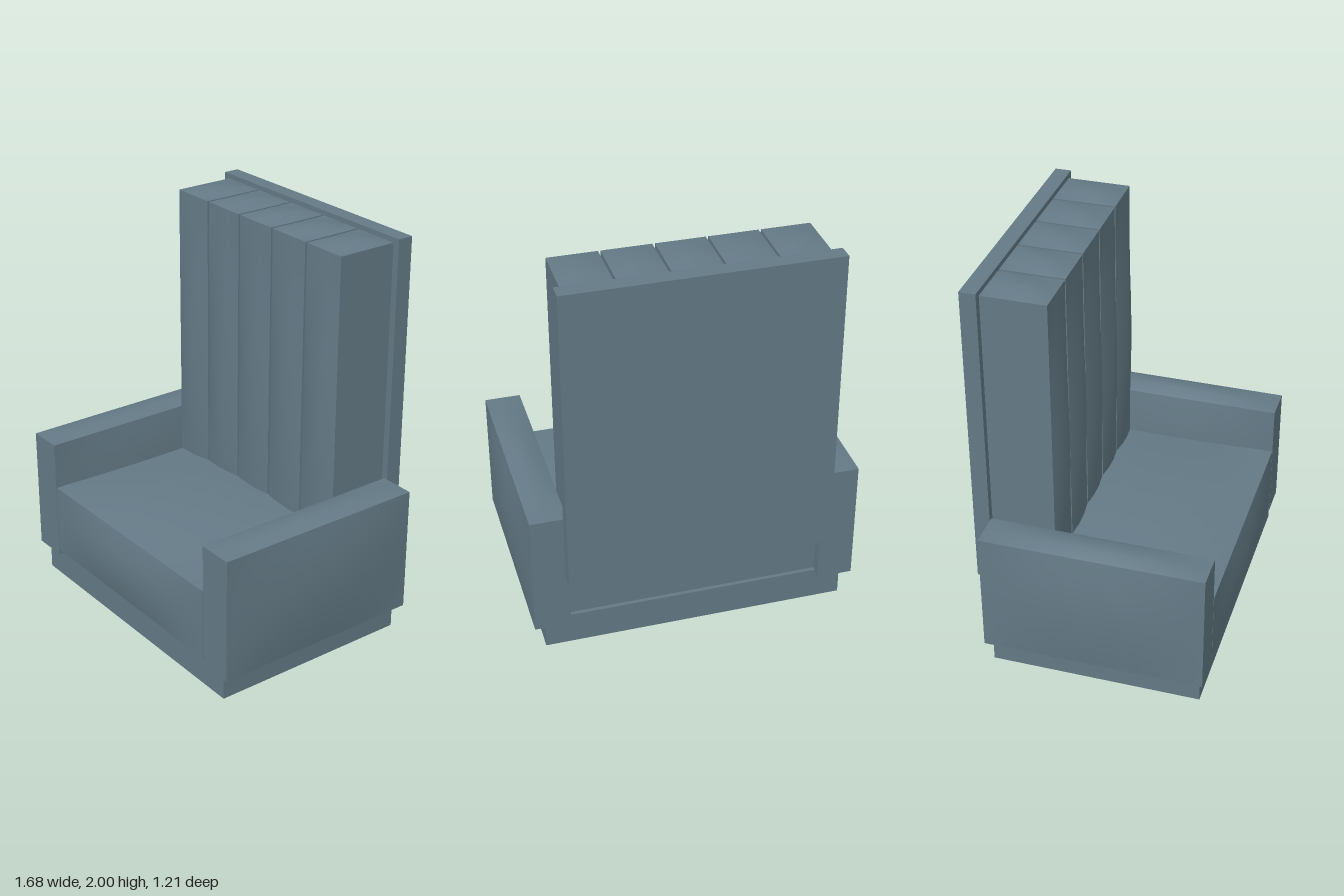
import * as THREE from 'three';

const upholstery = new THREE.MeshStandardMaterial({ color: 0x647a86 });
upholstery.name = 'slate blue upholstery';

// Box given by its limits, with chosen faces swelling like a stuffed cushion.
// bulge keys: px, nx, py, pz = height of the swell on that face.
function cushion(name, [x0, x1], [y0, y1], [z0, z1], segments = [1, 1, 1], bulge = {}) {
  const size = [x1 - x0, y1 - y0, z1 - z0];
  const geometry = new THREE.BoxGeometry(...size, ...segments);
  const position = geometry.attributes.position;
  const normal = geometry.attributes.normal;
  const dome = (value, length) => 1 - (2 * value / length) ** 2;
  for (let i = 0; i < position.count; i++) {
    const p = [position.getX(i), position.getY(i), position.getZ(i)];
    const n = [normal.getX(i), normal.getY(i), normal.getZ(i)];
    const axis = n.findIndex((v) => Math.abs(v) > 0.5);
    const height = bulge[(n[axis] > 0 ? 'p' : 'n') + 'xyz'[axis]] || 0;
    const a = (axis + 1) % 3;
    const b = (axis + 2) % 3;
    p[axis] += n[axis] * height * dome(p[a], size[a]) * dome(p[b], size[b]);
    position.setXYZ(i, ...p);
  }
  // faces do not share vertices, so the box edges stay crisp
  geometry.computeVertexNormals();
  const mesh = new THREE.Mesh(geometry, upholstery);
  mesh.name = name;
  mesh.position.set((x0 + x1) / 2, (y0 + y1) / 2, (z0 + z1) / 2);
  return mesh;
}

export function createModel() {
  const chair = new THREE.Group();
  chair.name = 'armchair';

  // plinth and seat
  chair.add(cushion('base', [-0.76, 0.76], [0, 0.135], [-0.5, 0.55]));
  chair.add(cushion('seatSupport', [-0.63, 0.63], [0.135, 0.165], [-0.5, 0.55]));
  chair.add(cushion('seat', [-0.63, 0.63], [0.165, 0.53], [-0.48, 0.575],
    [12, 3, 10], { py: 0.045, pz: 0.034 }));

  // arms, padded on top and both sides
  for (const side of [-1, 1]) {
    const limits = side > 0 ? [0.635, 0.815] : [-0.815, -0.635];
    chair.add(cushion(side > 0 ? 'leftArm' : 'rightArm', limits, [0.135, 0.77], [-0.525, 0.575],
      [3, 8, 12], { px: 0.027, nx: 0.027, py: 0.028 }));
  }

  // back panel with five vertical padded channels
  chair.add(cushion('backPanel', [-0.655, 0.655], [0.425, 2], [-0.605, -0.525]));
  for (let i = -2; i <= 2; i++) {
    const x = i * 0.25;
    chair.add(cushion('backChannel' + (i + 3), [x - 0.119, x + 0.119], [0.425, 1.975], [-0.525, -0.21],
      [3, 14, 3], { py: 0.026, pz: 0.036 }));
  }
  return chair;
}
